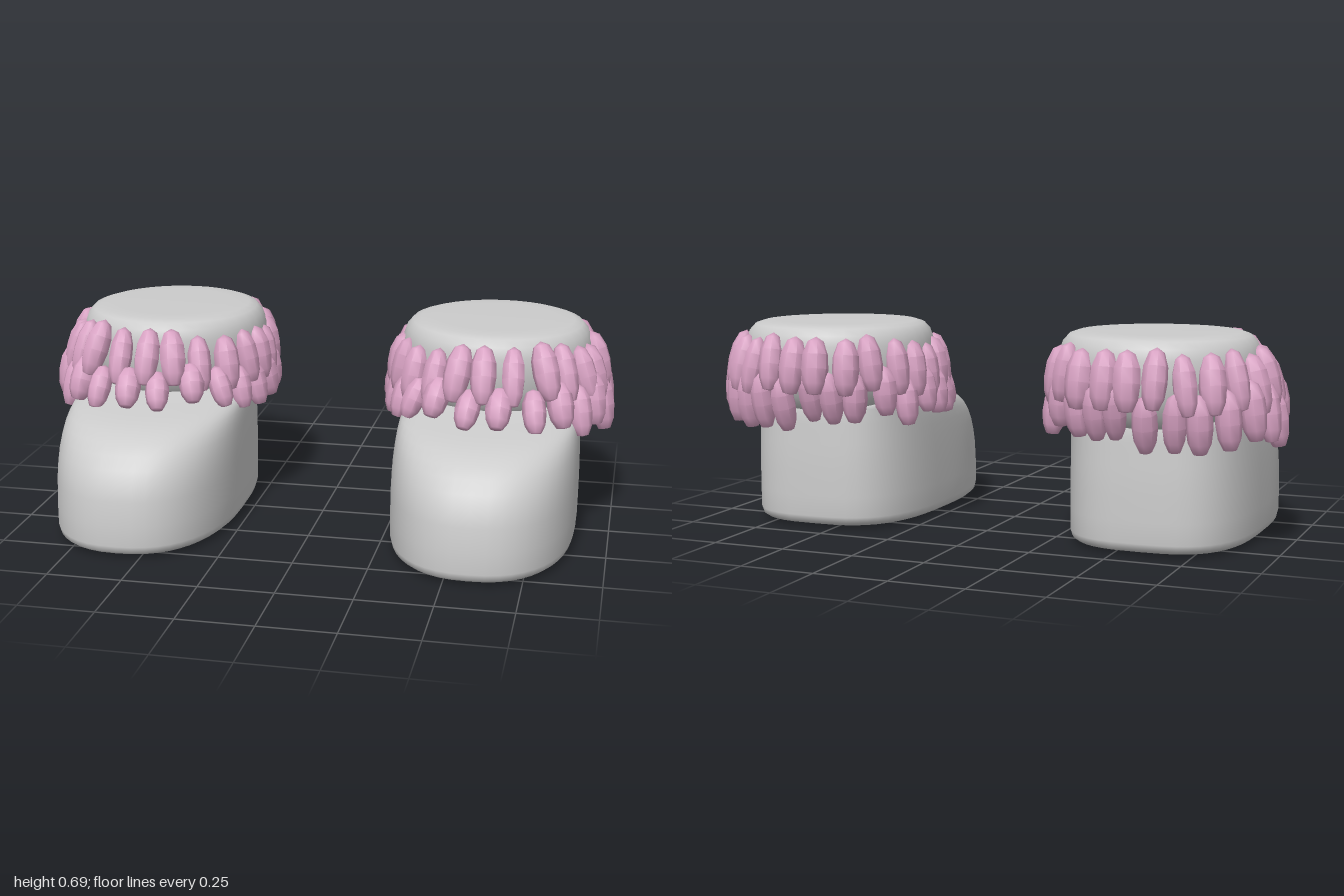
import * as THREE from 'three';
import { toCreasedNormals } from 'three/addons/utils/BufferGeometryUtils.js';

const grey = new THREE.MeshStandardMaterial({ color: 0xcccccc });
const pink = new THREE.MeshStandardMaterial({ color: 0xd9a3c4 });
const CUFF_Z = -0.185;

// Small seeded generator, values in -1..1
function seeded(seed) {
  let s = seed;
  return () => {
    s = (s * 16807) % 2147483647;
    return (s / 2147483647) * 2 - 1;
  };
}

// Foot: rounded horizontal rings stacked from sole to ankle
function footGeometry() {
  // height, back z, front z, half width
  const rings = [
    [0.0, 0.07, 0.07, 0], [0.003, -0.36, 0.5, 0.25], [0.01, -0.405, 0.56, 0.292],
    [0.02, -0.42, 0.574, 0.304], [0.04, -0.427, 0.579, 0.309], [0.11, -0.427, 0.576, 0.31],
    [0.19, -0.425, 0.565, 0.31], [0.24, -0.423, 0.55, 0.309], [0.285, -0.42, 0.526, 0.308],
    [0.325, -0.417, 0.493, 0.306], [0.355, -0.415, 0.455, 0.304], [0.378, -0.413, 0.41, 0.301],
    [0.395, -0.41, 0.355, 0.298], [0.408, -0.407, 0.28, 0.294], [0.418, -0.403, 0.2, 0.29],
    [0.43, -0.395, 0.12, 0.282], [0.445, -0.38, 0.04, 0.26], [0.46, -0.17, -0.17, 0],
  ];
  const n = 48, pos = [], idx = [];
  const power = (v, e) => Math.sign(v) * Math.abs(v) ** (2 / e);
  rings.forEach(([y, back, front, w], j) => {
    const mid = (back + front) / 2, half = (front - back) / 2;
    for (let i = 0; i < n; i++) {
      const t = (i / n) * Math.PI * 2, c = Math.cos(t), s = Math.sin(t);
      const e = s > 0 ? 2.4 : 3.1;
      pos.push(w * power(c, e), y, mid + half * power(s, e));
      if (j < rings.length - 1) {
        const a = j * n + i, b = j * n + (i + 1) % n;
        idx.push(a, a + n, b, b, a + n, b + n);
      }
    }
  });
  const g = new THREE.BufferGeometry();
  g.setAttribute('position', new THREE.Float32BufferAttribute(pos, 3));
  g.setIndex(idx);
  g.computeVertexNormals();
  return g;
}

// Lathe from [radius, height] pairs, listed bottom to top
function lathe(profile, sides) {
  return new THREE.LatheGeometry(profile.map(([r, y]) => new THREE.Vector2(r, y)), sides);
}

// Unit tuft: an elongated lock with a blunt tip, root at +0.5, tip at -0.5
function tuftGeometry() {
  return toCreasedNormals(lathe([
    [0, -0.5], [0.5, -0.48], [0.86, -0.3], [1, -0.05], [0.95, 0.2], [0.6, 0.42], [0, 0.5],
  ], 8), 0.9);
}

const UP = new THREE.Vector3(0, 1, 0);

// One tuft stretched between its root and its tip
function tuft(geometry, root, tip, width, turn) {
  const mesh = new THREE.Mesh(geometry, pink);
  const along = root.clone().sub(tip);
  mesh.position.copy(root).add(tip).multiplyScalar(0.5);
  mesh.scale.set(width, along.length(), width);
  mesh.quaternion.setFromUnitVectors(UP, along.normalize());
  mesh.rotateY(turn);
  mesh.name = 'furTuft';
  return mesh;
}

// Two overlapping rows of tufts around the cuff
function furTrim(side) {
  const trim = new THREE.Group();
  trim.name = 'furTrim';
  const geometry = tuftGeometry(), rnd = seeded(4711);
  const at = (a, r, y) => new THREE.Vector3(side * Math.sin(a) * r, y, CUFF_Z + Math.cos(a) * r);
  const count = 24;
  for (let row = 0; row < 2; row++) {
    for (let i = 0; i < count; i++) {
      const a = ((i + row * 0.5) / count) * Math.PI * 2 + rnd() * 0.03;
      const front = Math.max(0, Math.cos(a)) ** 2, back = Math.max(0, -Math.cos(a)) ** 2;
      const outer = Math.sin(a) * 0.015;
      const lift = rnd() * 0.025, spread = a + rnd() * 0.05;
      const root = row === 0
        ? at(a, 0.322 + front * 0.01, 0.645 + front * 0.02 + lift)
        : at(a, 0.342 + outer + front * 0.035, 0.54 + lift);
      const tip = row === 0
        ? at(spread, 0.36 + outer + front * 0.06, 0.455 + front * 0.03 + lift)
        : at(spread, 0.372 + outer + front * 0.09 - back * 0.08,
          0.36 - outer + front * 0.065 + lift);
      trim.add(tuft(geometry, root, tip, 0.042 + rnd() * 0.004, rnd()));
    }
  }
  return trim;
}

function boot(side) {
  const group = new THREE.Group();
  group.name = side > 0 ? 'leftBoot' : 'rightBoot';

  const foot = new THREE.Mesh(footGeometry(), grey);
  foot.name = 'foot';

  // Padded ankle cuff with a closed, softly rounded top
  const cuff = new THREE.Mesh(lathe([
    [0.2, 0.395], [0.265, 0.415], [0.3, 0.45], [0.32, 0.51], [0.328, 0.57], [0.325, 0.625],
    [0.313, 0.66], [0.293, 0.682], [0.265, 0.691], [0.2, 0.693], [0, 0.693],
  ], 36), grey);
  cuff.name = 'cuff';
  cuff.position.z = CUFF_Z;

  group.add(foot, cuff, furTrim(side));
  group.position.x = side * 0.58;
  return group;
}

export function createModel() {
  const model = new THREE.Group();
  model.name = 'furTrimmedBoots';
  model.add(boot(1), boot(-1));
  return model;
}
